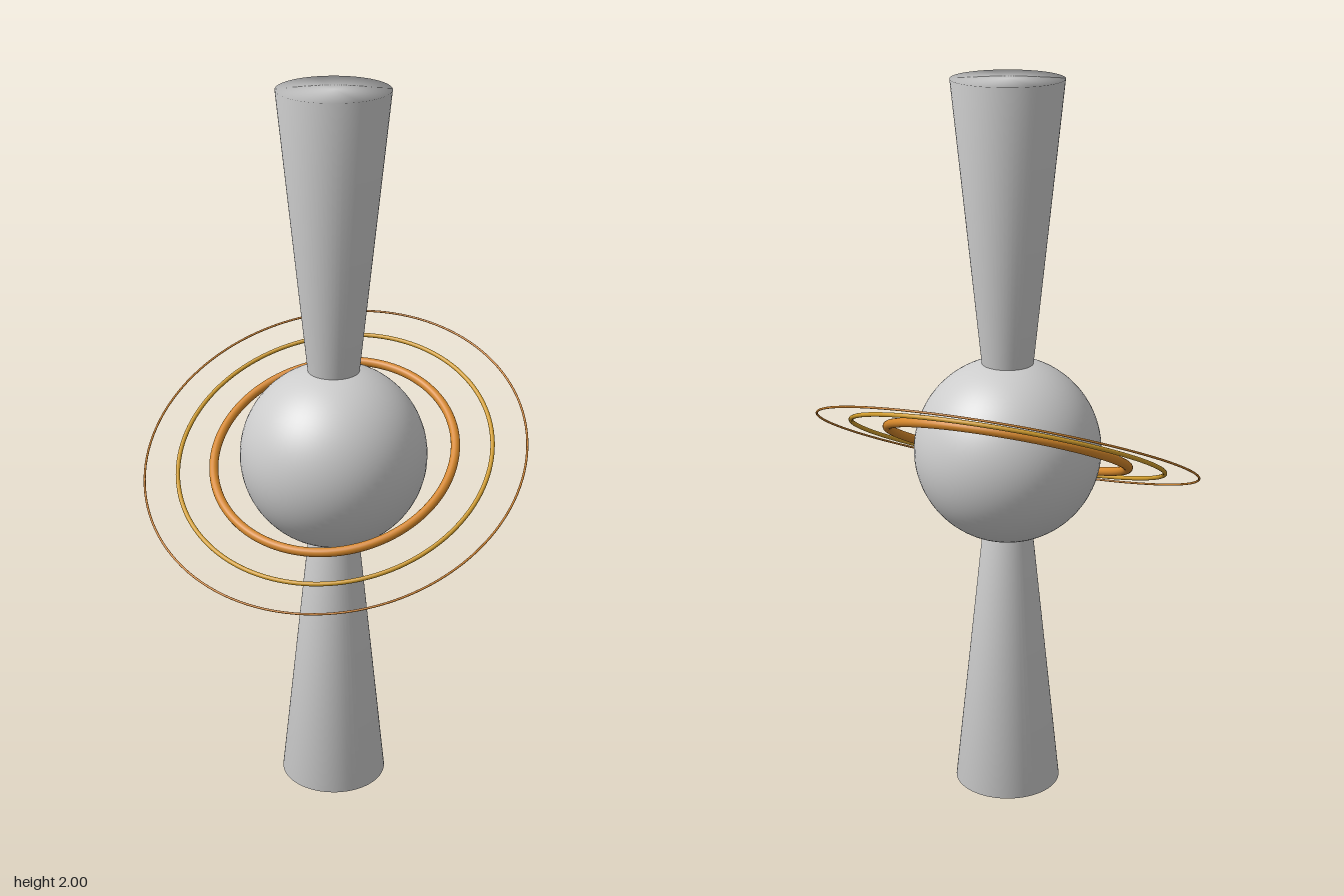
import * as THREE from 'three';
import { mergeVertices } from 'three/addons/utils/BufferGeometryUtils.js';

const material = (name, color) => {
  const m = new THREE.MeshStandardMaterial({ color });
  m.name = name;
  return m;
};

// Tapered cylinder whose caps share smooth normals with the wall
function smoothCone(rTop, rBottom, height) {
  const g = new THREE.CylinderGeometry(rTop, rBottom, height, 64);
  g.deleteAttribute('normal');
  g.deleteAttribute('uv');
  const merged = mergeVertices(g, 1e-4);
  merged.computeVertexNormals();
  return merged;
}

export function createModel() {
  const model = new THREE.Group();
  model.name = 'ringedSphere';
  const grey = material('lightGrey', 0xcccccc);
  const add = (name, geometry, mat, parent = model) => {
    const mesh = new THREE.Mesh(geometry, mat);
    mesh.name = name;
    parent.add(mesh);
    return mesh;
  };

  // Central sphere
  add('sphere', new THREE.SphereGeometry(0.255, 64, 48), grey).position.y = 1;

  // Two beams flaring away from the poles
  const length = 0.77;
  add('upperBeam', smoothCone(0.148, 0.068, length), grey).position.y = 2 - length / 2;
  add('lowerBeam', smoothCone(0.068, 0.148, length), grey).position.y = length / 2;

  // Three concentric rings, low at the front and high at the back
  const rings = new THREE.Group();
  rings.name = 'rings';
  rings.position.y = 1.003;
  rings.rotation.x = Math.PI / 2 + 0.486;
  model.add(rings);
  const ringSpecs = [
    ['innerRing', 0.332, 0.0125, material('orange', 0xd4862a)],
    ['middleRing', 0.432, 0.006, material('gold', 0xd09c2c)],
    ['outerRing', 0.525, 0.003, material('bronze', 0xc87f2c)],
  ];
  for (const [name, radius, tube, mat] of ringSpecs) {
    add(name, new THREE.TorusGeometry(radius, tube, 16, 128), mat, rings);
  }
  return model;
}
